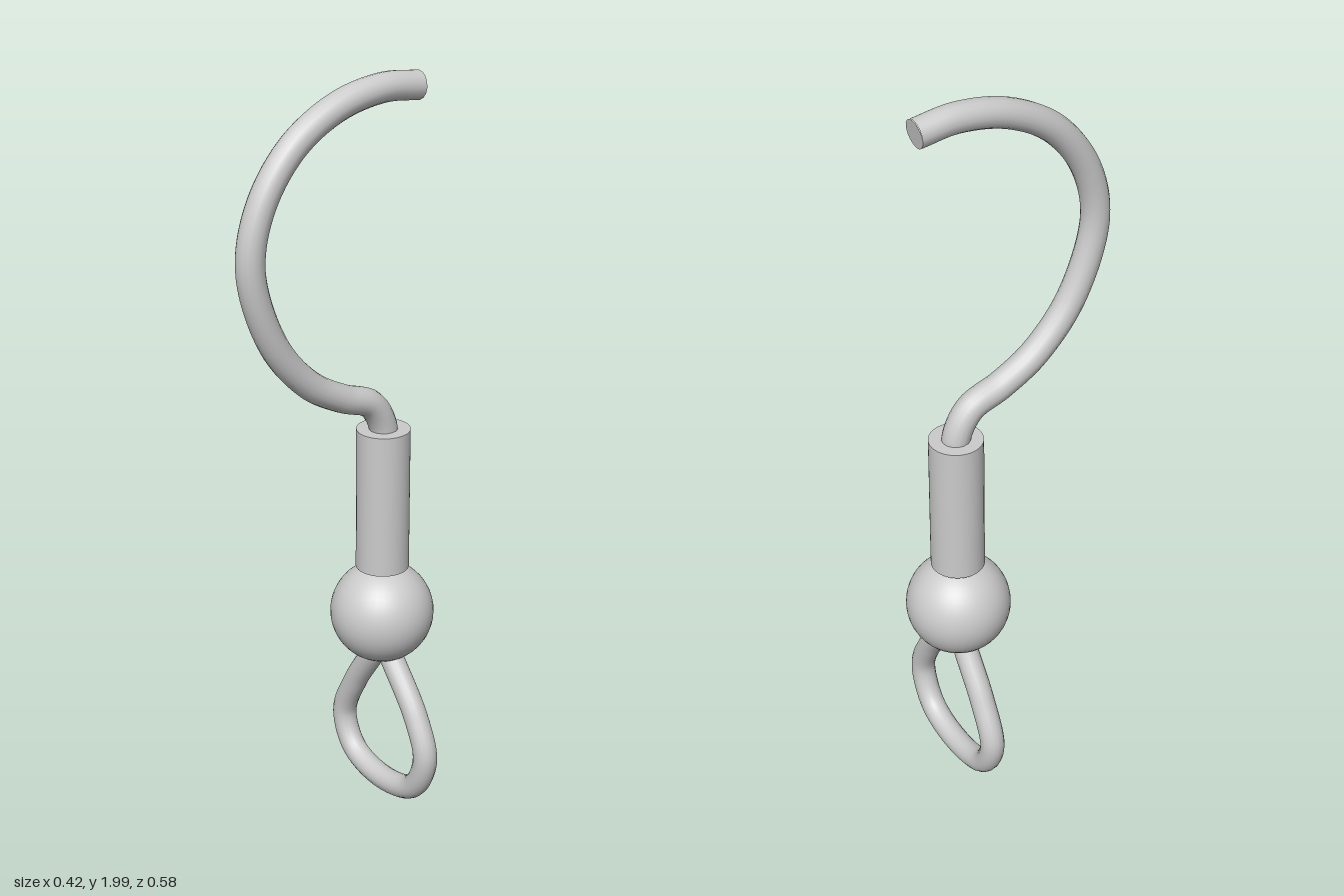
import * as THREE from 'three';

const X = -0.015, Z = -0.153; // shared vertical axis

export function createModel() {
  const group = new THREE.Group();
  const material = new THREE.MeshStandardMaterial({ color: 0xcccccc });

  const add = (name, geometry, x = 0, y = 0, z = 0) => {
    const mesh = new THREE.Mesh(geometry, material);
    mesh.name = name;
    mesh.position.set(x, y, z);
    group.add(mesh);
    return mesh;
  };
  const wire = (points, radius, segments) =>
    new THREE.TubeGeometry(new THREE.CatmullRomCurve3(points), segments, radius, 16);

  // Bent hook, lying in the vertical plane through the axis: [z, y]
  const hookPath = [
    [Z, 1.0], [-0.151, 1.08], [-0.11, 1.148], [-0.02, 1.185], [0.08, 1.245],
    [0.185, 1.37], [0.251, 1.575], [0.222, 1.725], [0.131, 1.855],
    [0.0, 1.935], [-0.14, 1.963], [-0.25, 1.953],
  ].map(([z, y]) => new THREE.Vector3(X, y, z));
  add('hook', wire(hookPath, 0.037, 96));

  // Flat cap closing the hook's tip
  const tip = add('hookTip', new THREE.CircleGeometry(0.037, 16), X, 1.953, -0.25);
  const direction = hookPath.at(-1).clone().sub(hookPath.at(-2)).normalize();
  direction.set(0, -0.14, -0.99).normalize();
  tip.quaternion.setFromUnitVectors(new THREE.Vector3(0, 0, 1), direction);

  // Sleeve and ball
  add('sleeve', new THREE.CylinderGeometry(0.07, 0.07, 0.39, 32), X, 0.875, Z);
  add('ball', new THREE.SphereGeometry(0.137, 40, 24), X, 0.547, Z);

  // Teardrop eye under the ball: [x, y]
  const eyePath = [
    [-0.012, 0.47], [-0.05, 0.405], [-0.128, 0.288], [-0.179, 0.165], [-0.135, 0.073],
    [-0.015, 0.038], [0.125, 0.073], [0.177, 0.18], [0.135, 0.29], [0.04, 0.41], [-0.012, 0.47],
  ].map(([x, y]) => new THREE.Vector3(x, y, Z));
  add('eyeLoop', wire(eyePath, 0.0325, 96));

  return group;
}
